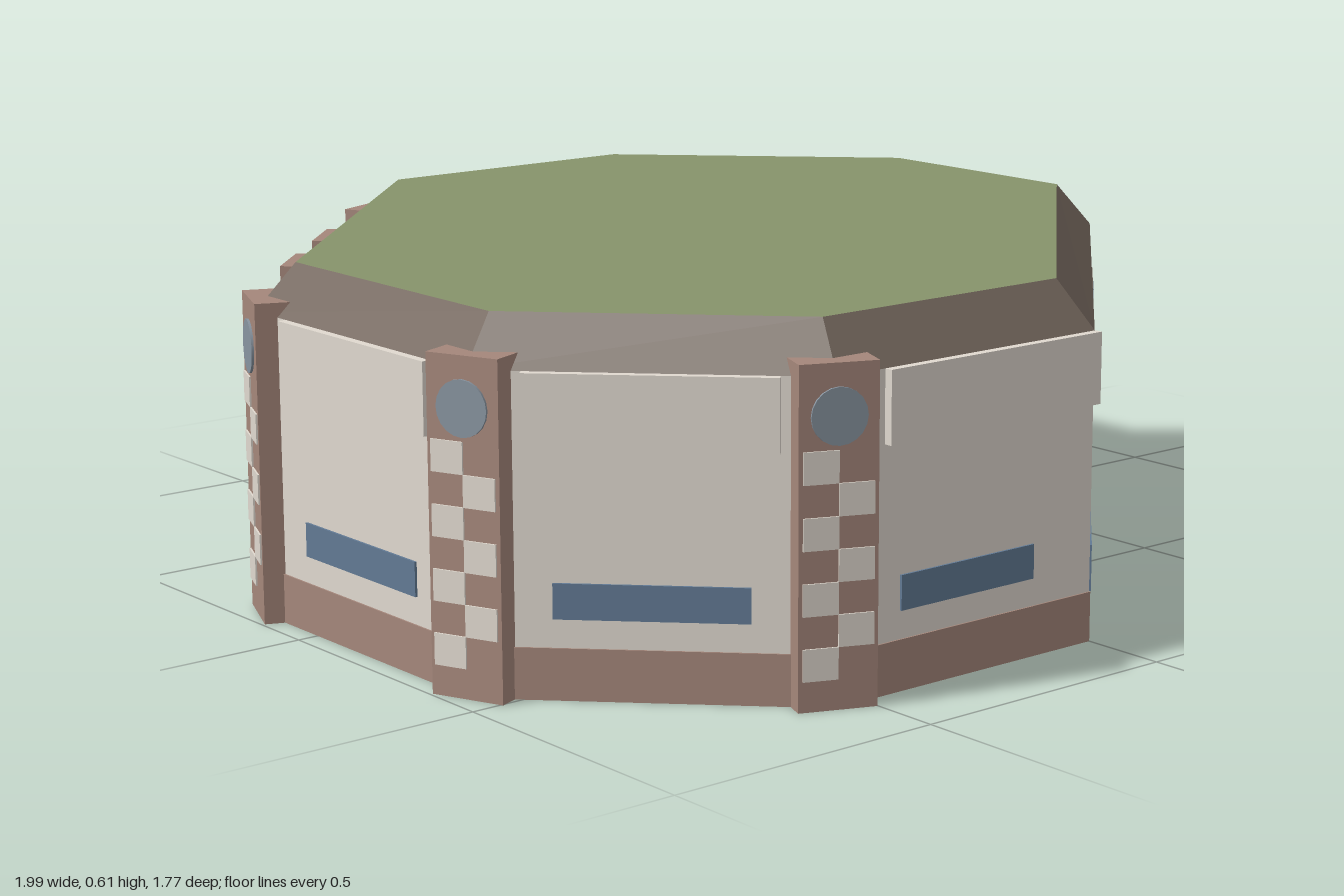
import * as THREE from 'three';

const mat = (name, color, side = THREE.FrontSide) => {
  const m = new THREE.MeshStandardMaterial({ color, side });
  m.name = name;
  return m;
};

export function createModel() {
  const model = new THREE.Group();
  model.name = 'building';
  const D = THREE.DoubleSide;
  const cream = mat('cream wall', 0xe0d9cf, D);
  const brown = mat('dark brown', 0x74675d, D);
  const clay = mat('clay pink', 0xa5877b);
  const blue = mat('window blue', 0x627a94, D);
  const steel = mat('steel grey', 0x8894a0);
  const green = mat('roof green', 0x87936b, D);

  const add = (parent, name, geo, material, x = 0, y = 0, z = 0) => {
    const m = new THREE.Mesh(geo, material);
    m.name = name;
    m.position.set(x, y, z);
    parent.add(m);
    return m;
  };
  // box spanning y0..y1, its back on z
  const slab = (parent, name, material, w, y0, y1, depth, x = 0, z = 0) =>
    add(parent, name, new THREE.BoxGeometry(w, y1 - y0, depth), material, x, (y0 + y1) / 2, z + depth / 2);
  // group at ground level whose local +z points outwards
  const frame = (name, x, z, nx, nz, parent = model) => {
    const g = new THREE.Group();
    g.name = name;
    g.position.set(x, 0, z);
    g.rotation.y = Math.atan2(nx, nz);
    parent.add(g);
    return g;
  };
  const edge = (name, a, b, parent) => {
    const dx = b[0] - a[0], dz = b[1] - a[1];
    const g = frame(name, (a[0] + b[0]) / 2, (a[1] + b[1]) / 2, dz, -dx, parent);
    return { g, len: Math.hypot(dx, dz) };
  };

  // footprints as [x, z]: wall line and inset roof deck
  const outer = [[0.745, -0.4], [0.745, 0.105], [0, 0.845], [-0.557, 0.845],
    [-0.96, 0.44], [-0.96, -0.17], [-0.285, -0.85], [0.295, -0.85]];
  const inner = [[0.68, -0.373], [0.68, 0.078], [-0.025, 0.78], [-0.53, 0.78],
    [-0.895, 0.413], [-0.895, -0.143], [-0.258, -0.785], [0.268, -0.785]];
  const eave = 0.525, top = 0.605;

  // pillar with checker tiles and a round medallion; outer face at local z = out
  const pillar = (g, out, depth, x = 0) => {
    const p = new THREE.Group();
    p.name = 'pillar';
    p.position.set(x, 0, out);
    g.add(p);
    slab(p, 'pillarBody', [clay, clay, clay, clay, clay, cream], 0.13, 0, 0.55, depth, 0, -depth);
    for (let i = 0; i < 7; i++) {
      const y = 0.05 + i * 0.052;
      slab(p, 'pillarTile', cream, 0.058, y, y + 0.052, 0.003, i % 2 ? 0.029 : -0.029);
    }
    const disc = new THREE.CylinderGeometry(0.046, 0.046, 0.004, 20).rotateX(Math.PI / 2);
    add(p, 'pillarMedallion', disc, steel, 0, 0.467, 0.002);
  };

  // walls: window length, upper panel length, panel shift
  const specs = [null, null, [0.29, 0.46, 0.05], [0.31, 0.4, 0], [0.32, 0.42, 0],
    [0.68, 0.76, 0], [0.32, 0.41, 0], [0.37, 0.55, -0.03]];
  outer.forEach((a, i) => {
    const { g, len } = edge('wall', a, outer[(i + 1) % 8]);
    const s = specs[i];
    add(g, 'wallFace', new THREE.PlaneGeometry(len, eave), s ? cream : brown, 0, eave / 2, 0);
    if (s) {
      slab(g, 'plinth', clay, len, 0, 0.085, 0.003);
      slab(g, 'window', blue, s[0], 0.132, 0.19, 0.004);
      slab(g, 'upperPanel', cream, s[1], 0.405, eave, 0.015, s[2]);
    }
    if (i === 1) { // plain front wall
      slab(g, 'longWindow', blue, 0.92, 0.067, 0.147, 0.004);
      slab(g, 'trimStripe', steel, len, 0.437, 0.458, 0.004);
    }
    if (i === 5) for (const x of [-0.13, 0.13]) pillar(g, 0.022, 0.035, x);
  });

  // corner pillars, set on the bisector of neighbouring walls
  for (let i = 3; i < 8; i++) {
    const [x, z] = outer[i];
    const n = [outer[i - 1], outer[(i + 1) % 8]].reduce((s, q) => {
      const l = Math.hypot(x - q[0], z - q[1]);
      return [s[0] + (x - q[0]) / l, s[1] + (z - q[1]) / l];
    }, [0, 0]);
    pillar(frame('cornerPillar', x, z, n[0], n[1]), 0.011, 0.066);
  }

  // sloped roof rim
  const pos = [];
  outer.forEach((a, i) => {
    const j = (i + 1) % 8;
    const low = p => [p[0], eave, p[1]], high = p => [p[0], top, p[1]];
    const b = outer[j], c = inner[i], d = inner[j];
    pos.push(...low(b), ...low(a), ...high(c), ...low(b), ...high(c), ...high(d));
  });
  const rim = new THREE.BufferGeometry();
  rim.setAttribute('position', new THREE.Float32BufferAttribute(pos, 3));
  rim.computeVertexNormals();
  add(model, 'roofRim', rim, brown);

  // flat polygon lying at height y
  const deck = (parent, name, pts, material, y) => {
    const shape = new THREE.Shape(pts.map(p => new THREE.Vector2(p[0], -p[1])));
    add(parent, name, new THREE.ShapeGeometry(shape).rotateX(-Math.PI / 2), material, 0, y, 0);
  };
  deck(model, 'roofDeck', inner, green, top);

  // pointed glass entrance
  const porch = new THREE.Group();
  porch.name = 'entrance';
  model.add(porch);
  const pts = [[0.745, -0.315], [0.805, -0.315], [0.995, -0.127], [0.805, 0.06], [0.745, 0.06]];
  deck(porch, 'entranceRoof', pts, brown, 0.377);
  for (let i = 0; i < 4; i++) {
    const { g, len } = edge('entranceSide', pts[i], pts[i + 1], porch);
    add(g, 'entranceGlass', new THREE.PlaneGeometry(len, 0.365), blue, 0, 0.1825, 0);
    add(g, 'entranceFascia', new THREE.PlaneGeometry(len, 0.012), brown, 0, 0.371, 0);
    if (i === 1 || i === 2)
      for (const k of [-1, 1]) slab(g, 'mullion', steel, 0.005, 0, 0.365, 0.002, k * len / 6);
  }
  return model;
}
